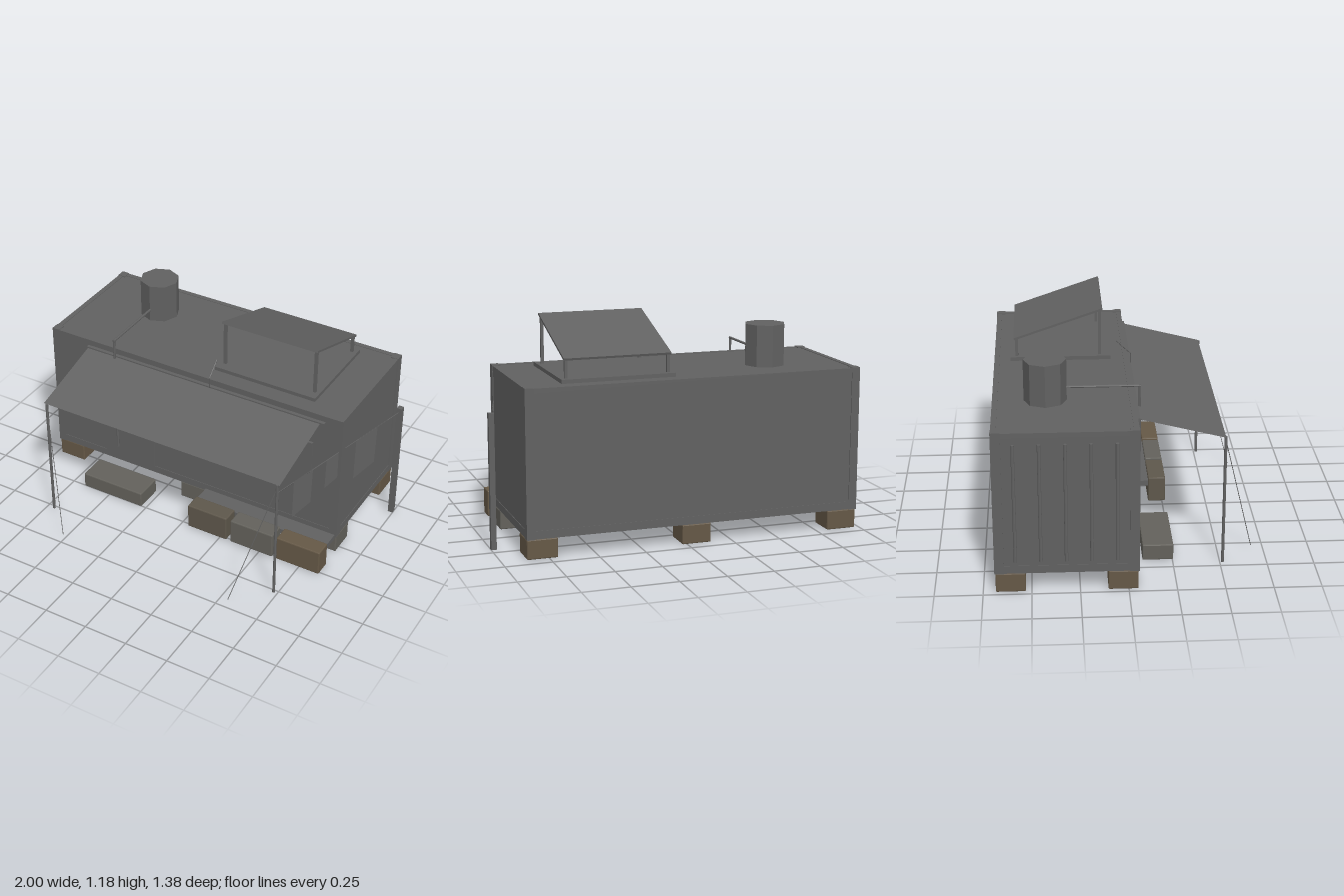
import * as THREE from 'three';
import { RoundedBoxGeometry } from 'three/addons/geometries/RoundedBoxGeometry.js';

const mat = (color, side = THREE.FrontSide) =>
  new THREE.MeshStandardMaterial({ color, side, flatShading: true });

export function createModel() {
  const model = new THREE.Group();
  const grey = mat(0x616161);
  const cloth = mat(0x636363, THREE.DoubleSide);
  const brown = mat(0x655846);
  const tan = mat(0x5e574b);
  const stone = mat(0x63615b);

  const add = (name, geometry, material = grey) => {
    const mesh = new THREE.Mesh(geometry, material);
    mesh.name = name;
    model.add(mesh);
    return mesh;
  };
  // Box given by its limits on each axis
  const box = (name, [x0, x1], [y0, y1], [z0, z1], material = grey, radius = 0) => {
    const size = [x1 - x0, y1 - y0, z1 - z0];
    const geometry = radius
      ? new RoundedBoxGeometry(...size, 1, radius)
      : new THREE.BoxGeometry(...size);
    const mesh = add(name, geometry, material);
    mesh.position.set((x0 + x1) / 2, (y0 + y1) / 2, (z0 + z1) / 2);
    return mesh;
  };
  // Straight rod between two points
  const rod = (name, a, b, radius, sides = 8) => {
    const start = new THREE.Vector3(...a), end = new THREE.Vector3(...b);
    const direction = end.clone().sub(start);
    const mesh = add(name, new THREE.CylinderGeometry(radius, radius, direction.length(), sides));
    mesh.position.copy(start).add(end).multiplyScalar(0.5);
    mesh.quaternion.setFromUnitVectors(new THREE.Vector3(0, 1, 0), direction.normalize());
    return mesh;
  };
  // Flat sheet through four corners
  const sheet = (name, a, b, c, d) => {
    const geometry = new THREE.BufferGeometry();
    geometry.setAttribute('position', new THREE.Float32BufferAttribute([...a, ...b, ...c, ...d], 3));
    geometry.setIndex([0, 1, 2, 0, 2, 3]);
    geometry.computeVertexNormals();
    return add(name, geometry, cloth);
  };

  // Container: walls set slightly inside posts and rails
  const X = [-0.978, 0.869], Y = [0.105, 0.89], Z = [-0.69, 0.055];
  box('containerBody', [X[0] + 0.005, X[1] - 0.005], [0.108, 0.884], [Z[0] + 0.005, Z[1] - 0.005]);
  const xEnds = [[X[0], X[0] + 0.045], [X[1] - 0.045, X[1]]];
  const zEnds = [[Z[0], Z[0] + 0.05], [Z[1] - 0.05, Z[1]]];
  for (const xs of xEnds) for (const zs of zEnds) box('cornerPost', xs, Y, zs);
  for (const ys of [[0.107, 0.15], [0.86, 0.887]]) {
    for (const z of [[Z[0] + 0.002, Z[0] + 0.03], [Z[1] - 0.03, Z[1] - 0.002]])
      box('sideRail', [X[0] + 0.02, X[1] - 0.02], ys, z);
    for (const x of [[X[0] + 0.002, X[0] + 0.03], [X[1] - 0.03, X[1] - 0.002]])
      box('endRail', x, ys, [Z[0] + 0.02, Z[1] - 0.02]);
  }

  // Upright bars on the end wall
  for (let i = 0; i < 5; i++) {
    const z = -0.58 + i * 0.13;
    rod('endBar', [-0.991, 0.18, z], [-0.991, 0.83, z], 0.009);
  }

  // Door and window on the front wall
  box('door', [-0.635, -0.305], [0.15, 0.8], [0.04, 0.066]);
  box('window', [0.14, 0.7], [0.425, 0.695], [0.04, 0.064]);
  box('windowMullion', [0.542, 0.556], [0.427, 0.693], [0.04, 0.07]);
  box('windowHood', [0.115, 0.57], [0.71, 0.72], [0.05, 0.153]);

  // Awning with poles and guy ropes
  box('awningRail', [-0.735, 0.765], [0.835, 0.85], [0.05, 0.07]);
  sheet('awning', [-0.727, 0.73, 0.515], [0.74, 0.73, 0.515], [0.74, 0.845, 0.06], [-0.727, 0.845, 0.06]);
  for (const [x, foot] of [[-0.708, -0.526], [0.727, 0.543]]) {
    rod('awningPole', [x, 0, 0.515], [x, 0.73, 0.515], 0.008);
    rod('guyRope', [x, 0.71, 0.515], [foot, 0, 0.69], 0.002, 5);
  }

  // Clothesline with hanging cloths
  box('linePost', [0.971, 1], [0, 0.725], [-0.455, -0.425]);
  rod('clothesline', [0.731, 0.682, 0.515], [0.985, 0.698, -0.44], 0.002, 5);
  const lineAt = (z, y) => [0.735 + (0.515 - z) * 0.2565, y, z];
  const cloths = [[0.405, 0.255, 0.455, 0.475], [0.155, 0.02, 0.505, 0.525], [-0.08, -0.26, 0.435, 0.455]];
  for (const [z0, z1, y0, y1] of cloths)
    sheet('hangingCloth', lineAt(z0, y0), lineAt(z1 + 0.008, y1), lineAt(z1, 0.694), lineAt(z0 - 0.005, 0.69));

  // Roof tank with its down pipe and valve
  const tank = add('waterTank', new THREE.CylinderGeometry(0.112, 0.112, 0.225, 8));
  tank.position.set(-0.541, 0.998, -0.412);
  rod('tankPipe', [-0.541, 0.955, -0.32], [-0.541, 0.955, 0.085], 0.007);
  rod('downPipe', [-0.541, 0.961, 0.079], [-0.541, 0.225, 0.079], 0.007);
  const valve = add('pipeValve', new THREE.SphereGeometry(0.013, 8, 6));
  valve.position.set(-0.541, 0.772, 0.092);

  // Tilted roof panel on a base plate
  box('panelBase', [0.038, 0.652], [0.884, 0.905], [-0.6, -0.045]);
  for (const x of [0.069, 0.62]) {
    box('panelFrontLeg', [x - 0.008, x + 0.008], [0.9, 1.16], [-0.113, -0.097]);
    box('panelRearLeg', [x - 0.008, x + 0.008], [0.9, 1.005], [-0.572, -0.556]);
  }
  const panel = add('roofPanel', new THREE.BoxGeometry(0.58, 0.012, 0.516));
  panel.position.set(0.344, 1.087, -0.334);
  panel.rotation.x = -Math.atan2(0.165, 0.485);

  // Junction box and cable
  box('junctionBox', [0.023, 0.113], [0.515, 0.605], [0.04, 0.08]);
  rod('cable', [0.068, 0.6, 0.068], [0.068, 0.908, 0.068], 0.003, 6);
  rod('cableArm', [0.068, 0.905, 0.07], [0.068, 0.98, -0.01], 0.004, 6);

  // Support blocks
  const columns = [[-0.975, -0.81], [-0.133, 0.027], [0.704, 0.868]];
  columns.forEach((x, i) => {
    box('supportBlock', x, [0, 0.106], [-0.105, 0.05], i === 0 ? brown : stone, 0.006);
    box('supportBlock', x, [0, 0.106], [-0.685, -0.53], brown, 0.006);
  });

  // Door step, plank and a row of tall blocks
  box('doorStep', [-0.67, -0.278], [0, 0.09], [0.09, 0.255], stone, 0.006);
  box('plank', [0.043, 0.864], [0.1, 0.13], [0.065, 0.17]);
  box('tallBlock', [0.043, 0.292], [0, 0.148], [0.17, 0.268], tan, 0.006);
  box('tallBlock', [0.318, 0.583], [0, 0.148], [0.17, 0.268], stone, 0.006);
  box('tallBlock', [0.608, 0.872], [0, 0.148], [0.17, 0.268], brown, 0.006);

  return model;
}
